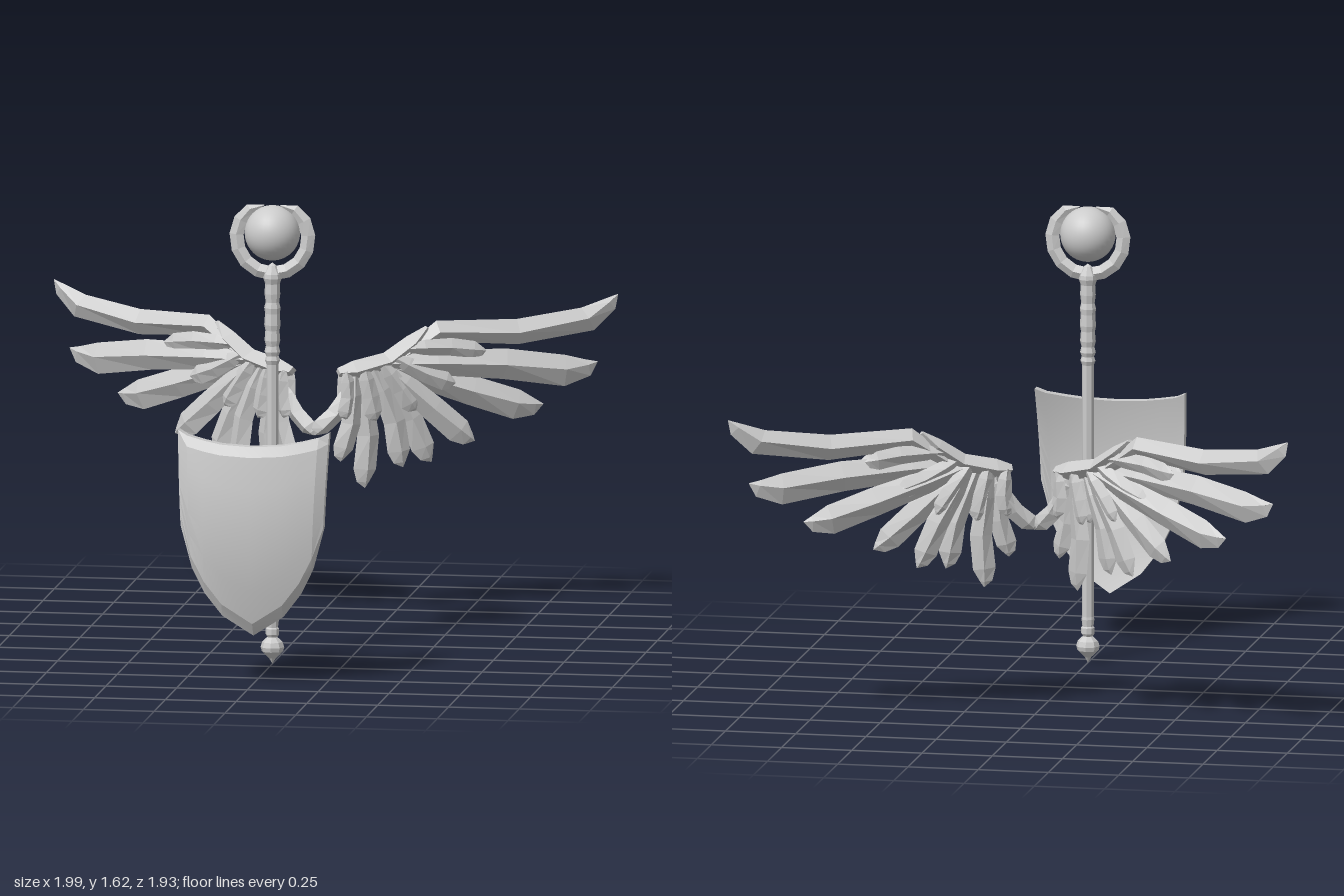
import * as THREE from 'three';
import { toCreasedNormals } from 'three/addons/utils/BufferGeometryUtils.js';

const STAFF_Z = 0.443;
const flat = new THREE.MeshStandardMaterial({ color: 0xcccccc, flatShading: true });
const smooth = new THREE.MeshStandardMaterial({ color: 0xcccccc });

// Closed skin over a row of rings, each ring counter-clockwise about the loft direction
function loft(rings) {
  const pos = [];
  const tri = (...ps) => ps.forEach((p) => pos.push(p.x, p.y, p.z));
  const n = rings[0].length;
  const middle = (r) => r.reduce((s, p) => s.add(p), new THREE.Vector3()).divideScalar(n);
  const first = rings[0], last = rings[rings.length - 1];
  const c0 = middle(first), c1 = middle(last);
  for (let j = 0; j < n; j++) {
    const k = (j + 1) % n;
    for (let i = 0; i < rings.length - 1; i++) {
      const a = rings[i], b = rings[i + 1];
      tri(a[j], a[k], b[k]);
      tri(a[j], b[k], b[j]);
    }
    tri(c0, first[k], first[j]);
    tri(c1, last[j], last[k]);
  }
  const g = new THREE.BufferGeometry();
  g.setAttribute('position', new THREE.Float32BufferAttribute(pos, 3));
  g.computeVertexNormals();
  return g;
}

function addMesh(parent, name, geometry, material) {
  const mesh = new THREE.Mesh(geometry, material);
  mesh.name = name;
  parent.add(mesh);
  return mesh;
}

// Ridged blade along a flat path; stations are [t, upper width, lower width, thickness]
function blade(path, width, thick, stations, place, offset = 0, flip = false) {
  const curve = new THREE.CatmullRomCurve3(path.map(([x, y]) => new THREE.Vector3(x, y, 0)));
  return loft(stations.map(([t, up, low, th]) => {
    const c = curve.getPointAt(t), d = curve.getTangentAt(t);
    const at = (side, n) => place(c.x - d.y * side, c.y + d.x * side, n + offset);
    const ring = [at(up * width, 0), at(0, th * thick), at(-low * width, 0), at(0, -th * thick)];
    return flip ? ring.reverse() : ring;
  }));
}

// Curved shield with a bevelled rim
function makeShield(group) {
  const half = [ // x at top, x at bottom, top y, bottom y
    [0, 0, 0.845, 0.17], [0.107, 0.107, 0.85, 0.24], [0.17, 0.168, 0.86, 0.32],
    [0.232, 0.212, 0.873, 0.41], [0.267, 0.252, 0.89, 0.56],
  ];
  const mirrored = half.slice(1).reverse().map(([a, b, t, l]) => [-a, -b, t, l]);
  const columns = [...mirrored, ...half];
  const rings = columns.map(([xt, xb, top, bottom], i) => {
    const rimColumn = i === 0 || i === columns.length - 1;
    const hi = top - 0.035, lo = bottom + 0.045;
    const rows = [top];
    for (let r = 0; r <= 5; r++) rows.push(hi + ((lo - hi) * r) / 5);
    rows.push(bottom);
    const point = (y, depth) => {
      const x = xb + ((xt - xb) * (y - bottom)) / (top - bottom);
      return new THREE.Vector3(x, y, 0.91 - 0.7 * x * x - 0.43 * (y - 0.6) ** 2 + depth);
    };
    const front = rows.map((y, r) =>
      point(y, rimColumn || r === 0 || r === rows.length - 1 ? 0.037 : 0.05));
    return [...front, ...rows.map((y) => point(y, 0)).reverse()];
  });
  addMesh(group, 'shield', toCreasedNormals(loft(rings), 0.25), smooth);
}

// Staff with pommel, wrapped grip, open ring and orb
function makeStaff(group) {
  const profile = [
    [0, 0], [0.012, 0.02], [0.038, 0.045], [0.042, 0.06], [0.036, 0.078], [0.018, 0.095],
    [0.024, 0.105], [0.024, 0.125], [0.02, 0.13], [0.023, 0.155], [0.021, 0.165],
    [0.021, 1.06], [0.027, 1.075], [0.022, 1.09], [0.028, 1.105], [0.023, 1.125],
    [0.028, 1.145], [0.025, 1.18], [0.029, 1.2], [0.026, 1.24], [0.029, 1.26],
    [0.024, 1.28], [0.028, 1.31], [0.026, 1.345], [0.033, 1.365], [0.031, 1.38],
    [0.014, 1.41], [0, 1.42],
  ].map(([r, y]) => new THREE.Vector2(r, y));
  addMesh(group, 'staff', new THREE.LatheGeometry(profile, 8), flat).position.z = STAFF_Z;

  const path = [];
  for (let i = 0; i <= 14; i++) {
    const a = THREE.MathUtils.degToRad(104 + (332 * i) / 14);
    const r = i === 0 || i === 14 ? 0.118 : 0.127;
    path.push([r * Math.cos(a), 1.508 + r * Math.sin(a)]);
  }
  const stations = [];
  for (let i = 0; i <= 14; i++) {
    const w = [0.05, 0.75][Math.min(i, 14 - i)] ?? 1;
    stations.push([i / 14, w, w, 0.5 + 0.5 * Math.sin((Math.PI * i) / 14)]);
  }
  const place = (x, y, n) => new THREE.Vector3(x, y, STAFF_Z + n);
  addMesh(group, 'staffRing', blade(path, 0.025, 0.014, stations, place), flat);
  addMesh(group, 'orb', new THREE.SphereGeometry(0.097, 32, 20), smooth).position.set(0, 1.525, STAFF_Z);
}

// Feathers as [half width, path points in the wing plane]
const FEATHERS = [
  [0.05, [[0.27, 0.9], [0.38, 0.995], [0.66, 0.985], [0.88, 1.015], [1, 1.1]]],
  [0.06, [[0.25, 0.9], [0.56, 0.885], [0.83, 0.85], [0.928, 0.868]]],
  [0.057, [[0.24, 0.89], [0.48, 0.8], [0.67, 0.735], [0.755, 0.725]]],
  [0.048, [[0.23, 0.89], [0.38, 0.74], [0.525, 0.61]]],
  [0.042, [[0.22, 0.88], [0.32, 0.7], [0.388, 0.54]]],
  [0.04, [[0.19, 0.88], [0.26, 0.7], [0.29, 0.53]]],
  [0.04, [[0.15, 0.87], [0.18, 0.67], [0.17, 0.46]]],
  [0.036, [[0.13, 0.86], [0.12, 0.7], [0.085, 0.56]]],
  [0.034, [[0.13, 0.83], [0.075, 0.73], [0.005, 0.655]]],
];
const COVERTS = [
  [0.036, [[0.3, 0.95], [0.42, 0.95], [0.56, 0.93]]],
  [0.036, [[0.26, 0.92], [0.36, 0.86], [0.46, 0.82]]],
  [0.034, [[0.22, 0.9], [0.28, 0.81], [0.33, 0.73]]],
  [0.032, [[0.16, 0.89], [0.18, 0.79], [0.2, 0.7]]],
  [0.03, [[0.1, 0.88], [0.11, 0.8], [0.1, 0.71]]],
];
const ARM = [[0.08, 0.875], [0.2, 0.89], [0.29, 0.94], [0.37, 1.02]];
const FEATHER_STATIONS = [
  [0, 0.35, 0.35, 0.6], [0.22, 0.75, 0.75, 1], [0.55, 0.9, 0.9, 1],
  [0.84, 0.8, 1.05, 0.8], [0.95, 0.3, 0.7, 0.4], [1, 0.02, 0.02, 0.05],
];
const ARM_STATIONS = [[0, 0.45, 0.45, 0.5], [0.15, 1, 1, 1], [0.5, 0.9, 0.9, 1],
  [0.8, 0.8, 0.8, 0.9], [1, 0.15, 0.3, 0.3]];

// One swept-back wing; side is +1 for the left, -1 for the right
function makeWing(side) {
  const wing = new THREE.Group();
  wing.name = side > 0 ? 'leftWing' : 'rightWing';
  const place = (x, y, n) =>
    new THREE.Vector3(side * (x + 0.44 * n), y, -0.475 - 0.49 * x + 0.9 * n);
  const add = (name, path, width, thick, stations, offset) =>
    addMesh(wing, name, blade(path, width, thick, stations, place, offset, side < 0), flat);

  FEATHERS.forEach(([w, path], i) =>
    add('feather', path, w, i < 3 ? 0.032 : 0.024, FEATHER_STATIONS, i % 2 ? 0.01 : -0.008));
  for (const layer of [-0.022, 0.022]) {
    COVERTS.forEach(([w, path]) => add('covertFeather', path, w, 0.018, FEATHER_STATIONS, layer));
  }
  add('wingArm', ARM, 0.034, 0.046, ARM_STATIONS, 0);
  return wing;
}

export function createModel() {
  const model = new THREE.Group();
  model.name = 'wingedArmorSet';
  makeShield(model);
  makeStaff(model);
  model.add(makeWing(1), makeWing(-1));
  return model;
}
